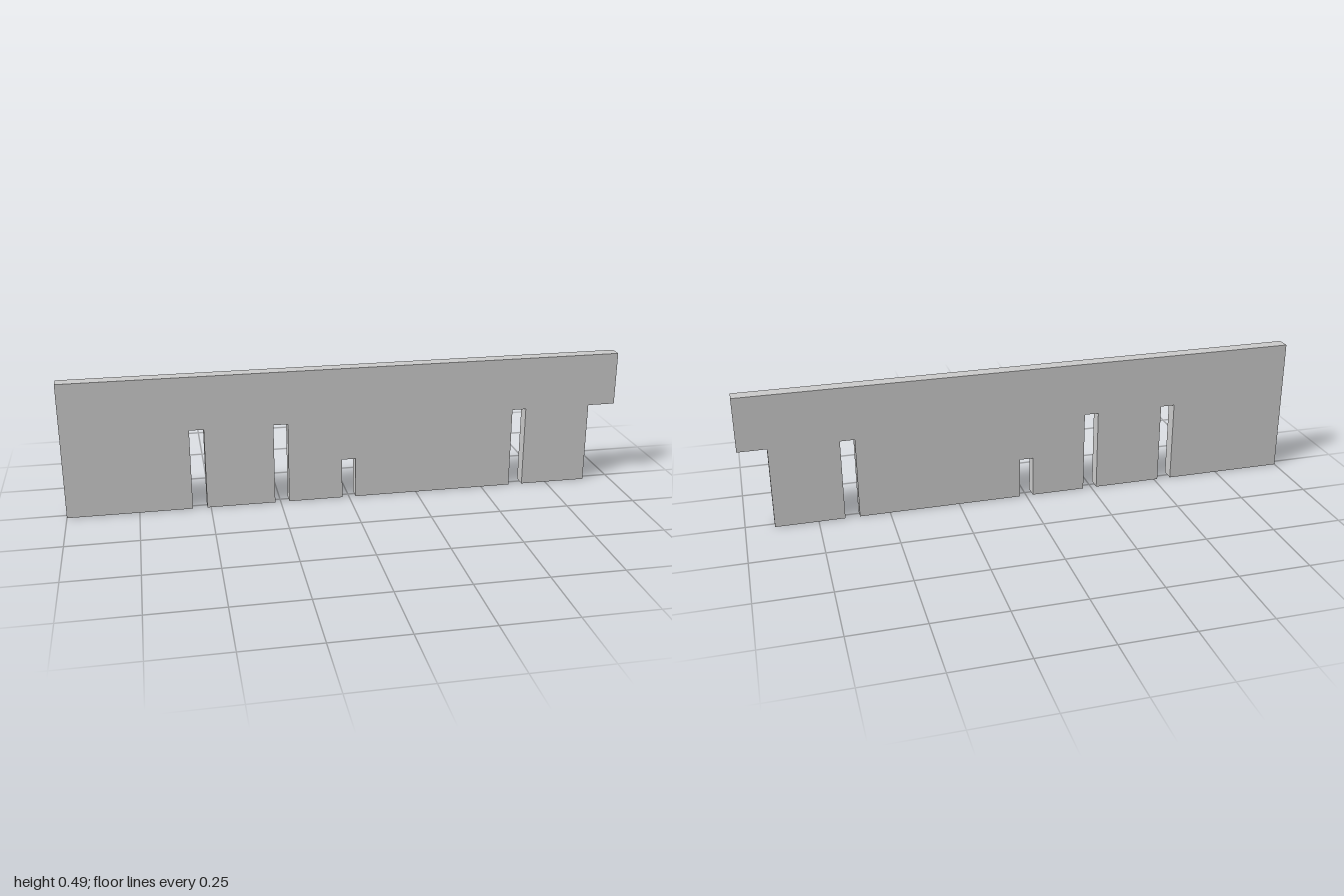
import * as THREE from 'three';

const HEIGHT = 0.488, THICKNESS = 0.048, SLOT_TOP = 0.295;

// Slots open at the bottom edge: [left x, right x, top y]
const SLOTS = [
  [-0.564, -0.513, SLOT_TOP],
  [-0.27, -0.219, SLOT_TOP],
  [-0.025, 0.024, 0.147],
  [0.607, 0.658, SLOT_TOP],
];

export function createModel() {
  const group = new THREE.Group();
  group.name = 'slottedBoard';

  // Board outline, counter-clockwise along the slotted bottom edge
  const outline = new THREE.Shape();
  outline.moveTo(-1, 0);
  for (const [left, right, top] of SLOTS) {
    outline.lineTo(left, 0);
    outline.lineTo(left, top);
    outline.lineTo(right, top);
    outline.lineTo(right, 0);
  }

  // Stepped end with its overhanging tab
  outline.lineTo(0.9, 0);
  outline.lineTo(0.9, SLOT_TOP);
  outline.lineTo(1, SLOT_TOP);
  outline.lineTo(1, HEIGHT);
  outline.lineTo(-1, HEIGHT);
  outline.closePath();

  const geometry = new THREE.ExtrudeGeometry(outline, { depth: THICKNESS, bevelEnabled: false });
  geometry.translate(0, 0, -THICKNESS / 2);

  const board = new THREE.Mesh(geometry, new THREE.MeshStandardMaterial({ color: 0xcccccc }));
  board.name = 'board';
  group.add(board);
  return group;
}
